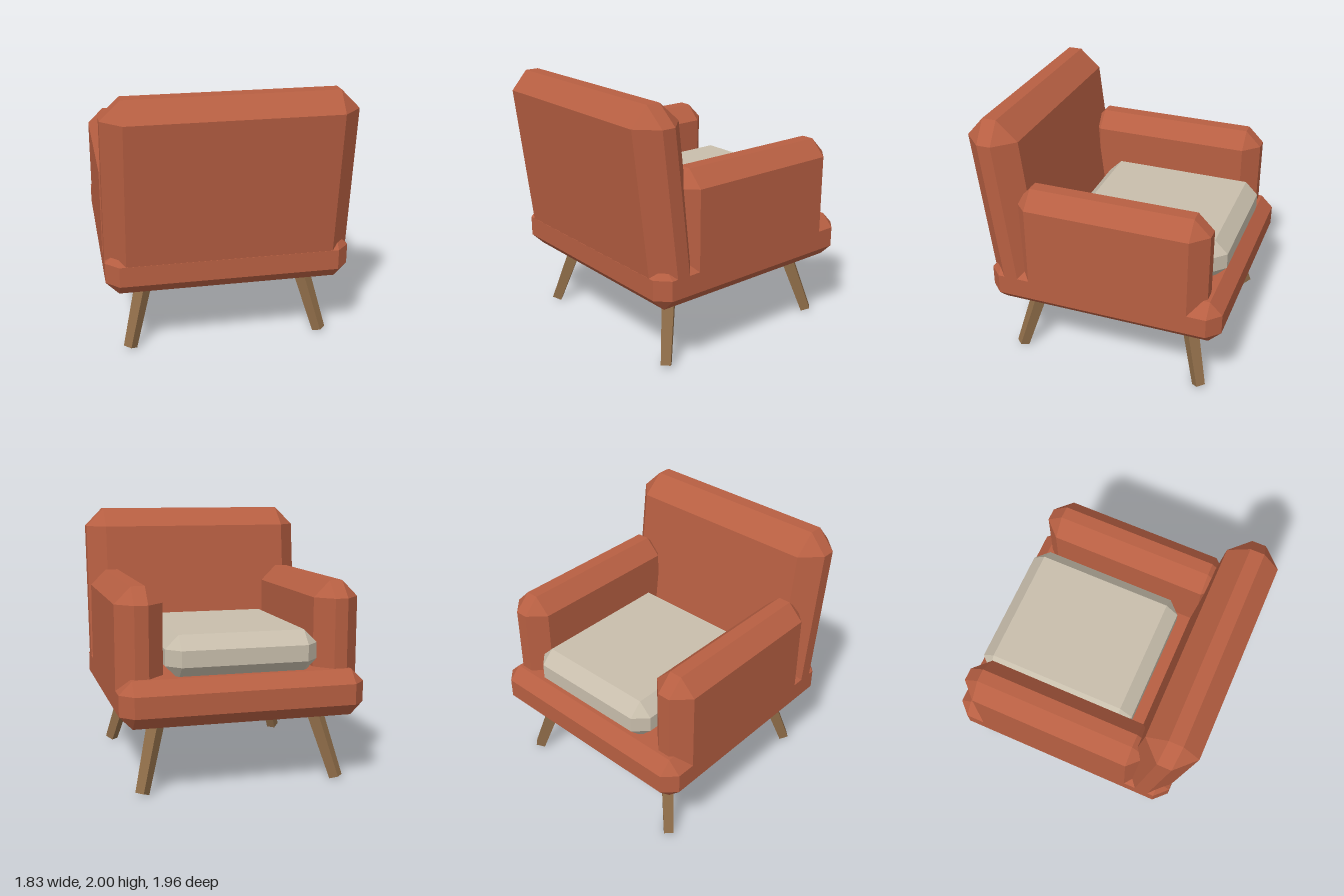
import * as THREE from 'three';
import { ConvexGeometry } from 'three/addons/geometries/ConvexGeometry.js';

// Box given by its limits, with every edge cut by c; each corner becomes a triangle
function chamferedBox([x0, x1], [y0, y1], [z0, z1], c, lean = 0) {
  const centre = new THREE.Vector3(x0 + x1, y0 + y1, z0 + z1).multiplyScalar(0.5);
  const half = [(x1 - x0) / 2, (y1 - y0) / 2, (z1 - z0) / 2];
  const points = [];
  for (const sx of [-1, 1]) for (const sy of [-1, 1]) for (const sz of [-1, 1]) {
    for (let face = 0; face < 3; face++) {
      const h = half.map((v, i) => (i === face ? v : v - c));
      const p = new THREE.Vector3(sx * h[0], sy * h[1], sz * h[2]).add(centre);
      p.z += lean * (p.y - y0); // slant the box backwards
      points.push(p);
    }
  }
  return new ConvexGeometry(points);
}

export function createModel() {
  const upholstery = new THREE.MeshStandardMaterial({ color: 0xb75f42 });
  upholstery.name = 'rust upholstery';
  const linen = new THREE.MeshStandardMaterial({ color: 0xc8beac });
  linen.name = 'pale linen';
  const wood = new THREE.MeshStandardMaterial({ color: 0x8e6c48 });
  wood.name = 'brown wood';

  const chair = new THREE.Group();
  chair.name = 'armchair';
  const add = (name, geometry, material, parent = chair) => {
    const mesh = new THREE.Mesh(geometry, material);
    mesh.name = name;
    parent.add(mesh);
    return mesh;
  };

  // Seat base
  add('seatBase', chamferedBox([-0.915, 0.915], [0.515, 0.862], [-0.98, 0.853], 0.096), upholstery);

  // Leaning backrest, sunk into the base
  add('backrest', chamferedBox([-0.915, 0.915], [0.62, 2], [0.4375, 0.8345], 0.145, 0.121), upholstery);

  // Armrests
  add('leftArm', chamferedBox([0.57, 0.915], [0.64, 1.505], [-0.86, 0.63], 0.123), upholstery);
  add('rightArm', chamferedBox([-0.915, -0.57], [0.64, 1.505], [-0.86, 0.63], 0.123), upholstery);

  // Loose seat cushion
  add('seatCushion', chamferedBox([-0.57, 0.57], [0.84, 1.16], [-0.91, 0.377], 0.1), linen);

  // Four tapered square legs splayed diagonally
  const legs = new THREE.Group();
  legs.name = 'legs';
  legs.position.set(0, 0.014, -0.065);
  chair.add(legs);
  const length = 0.605;
  const square = new THREE.CylinderGeometry(0.068, 0.052, length, 4, 1, false, Math.PI / 4);
  const leg = square.toNonIndexed();
  leg.computeVertexNormals();
  leg.translate(0, length / 2, 0).rotateZ(0.361).translate(0.745 * Math.SQRT2, 0, 0);
  for (let i = 0; i < 4; i++) {
    add('leg' + (i + 1), leg, wood, legs).rotation.y = Math.PI / 4 + (i * Math.PI) / 2;
  }
  return chair;
}
